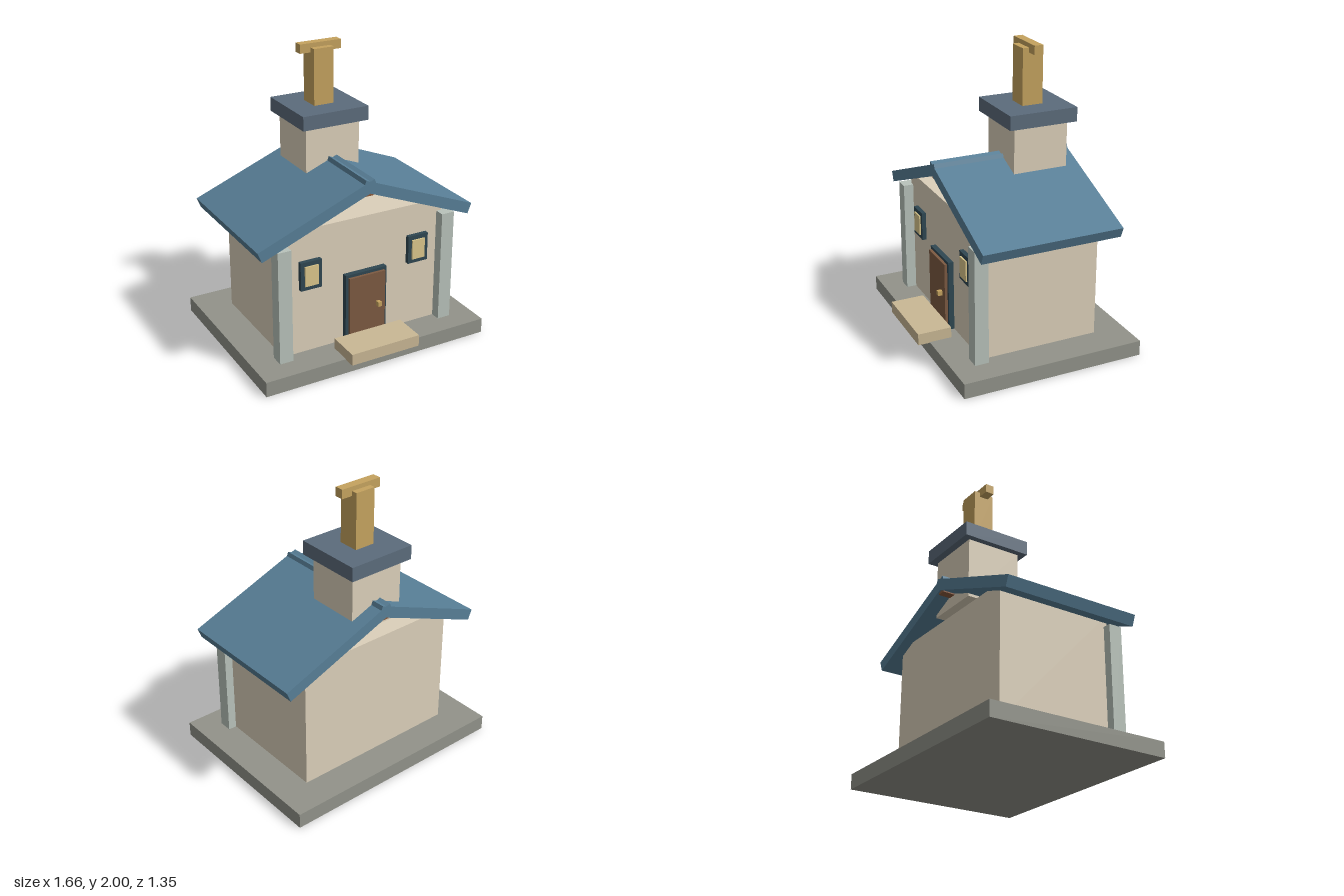
import * as THREE from 'three';

const material = (color) => new THREE.MeshStandardMaterial({ color, flatShading: true });

const MAT = {
  stone: material(0x92938a),
  wall: material(0xdcd0ba),
  pillar: material(0xb9c3bb),
  roof: material(0x587f97),
  cap: material(0x5c6c7c),
  gold: material(0xc5a35f),
  frame: material(0x2f4752),
  door: material(0x7d5a42),
  glass: material(0xdcc88c),
  step: material(0xcab895),
  beam: material(0x8a5a3c),
};

export function createModel() {
  const model = new THREE.Group();
  model.name = 'chapel';

  // Box given by its extents along each axis
  const box = (name, mat, [x0, x1], [y0, y1], [z0, z1]) => {
    const mesh = new THREE.Mesh(new THREE.BoxGeometry(x1 - x0, y1 - y0, z1 - z0), mat);
    mesh.position.set((x0 + x1) / 2, (y0 + y1) / 2, (z0 + z1) / 2);
    mesh.name = name;
    model.add(mesh);
    return mesh;
  };
  const wide = (half) => [-half, half];

  // Ground slab, step and main hall
  box('base', MAT.stone, wide(0.83), [0, 0.105], [-0.675, 0.595]);
  box('frontStep', MAT.step, wide(0.255), [0.1, 0.18], [0.44, 0.675]);
  box('hall', MAT.wall, wide(0.6), [0.1, 0.985], [-0.455, 0.375]);

  // Door
  box('doorFrame', MAT.frame, wide(0.155), [0.1, 0.603], [0.36, 0.412]);
  box('door', MAT.door, wide(0.135), [0.1, 0.583], [0.38, 0.432]);
  box('doorKnob', MAT.gold, [0.065, 0.092], [0.34, 0.373], [0.42, 0.463]);

  // Mirrored pillars, windows and roof slopes
  const slope = Math.atan2(0.327, 0.825);
  const thickness = 0.076;
  const length = Math.hypot(0.327, 0.825);
  for (const [side, s] of [['left', 1], ['right', -1]]) {
    const span = (a, b) => (s > 0 ? [a, b] : [-b, -a]);
    box(side + 'Pillar', MAT.pillar, span(0.563, 0.658), [0.1, 0.9], [0.35, 0.445]);
    box(side + 'WindowFrame', MAT.frame, span(0.328, 0.48), [0.57, 0.77], [0.36, 0.405]);
    box(side + 'WindowPane', MAT.glass, span(0.355, 0.452), [0.6, 0.74], [0.37, 0.415]);

    // Each slope runs slightly past the ridge, leaving a small notch on top
    const roof = new THREE.Mesh(new THREE.BoxGeometry(length, thickness, 0.975), MAT.roof);
    roof.name = side + 'RoofSlope';
    roof.position.set(
      s * (0.3825 - Math.sin(slope) * thickness / 2),
      1.0985 - Math.cos(slope) * thickness / 2,
      -0.0385,
    );
    roof.rotation.z = -s * slope;
    model.add(roof);
  }
  box('ridgeBeam', MAT.beam, wide(0.03), [1.148, 1.205], [-0.515, 0.438]);

  // Bell tower with its cap
  box('tower', MAT.wall, wide(0.2), [1.07, 1.49], [-0.43, -0.045]);
  box('towerCap', MAT.cap, wide(0.243), [1.487, 1.585], [-0.48, 0.005]);

  // Finial: post and crossbar
  box('finialPost', MAT.gold, wide(0.073), [1.58, 1.97], [-0.311, -0.164]);
  box('finialCrossbar', MAT.gold, wide(0.152), [1.938, 2], [-0.27, -0.208]);

  return model;
}
